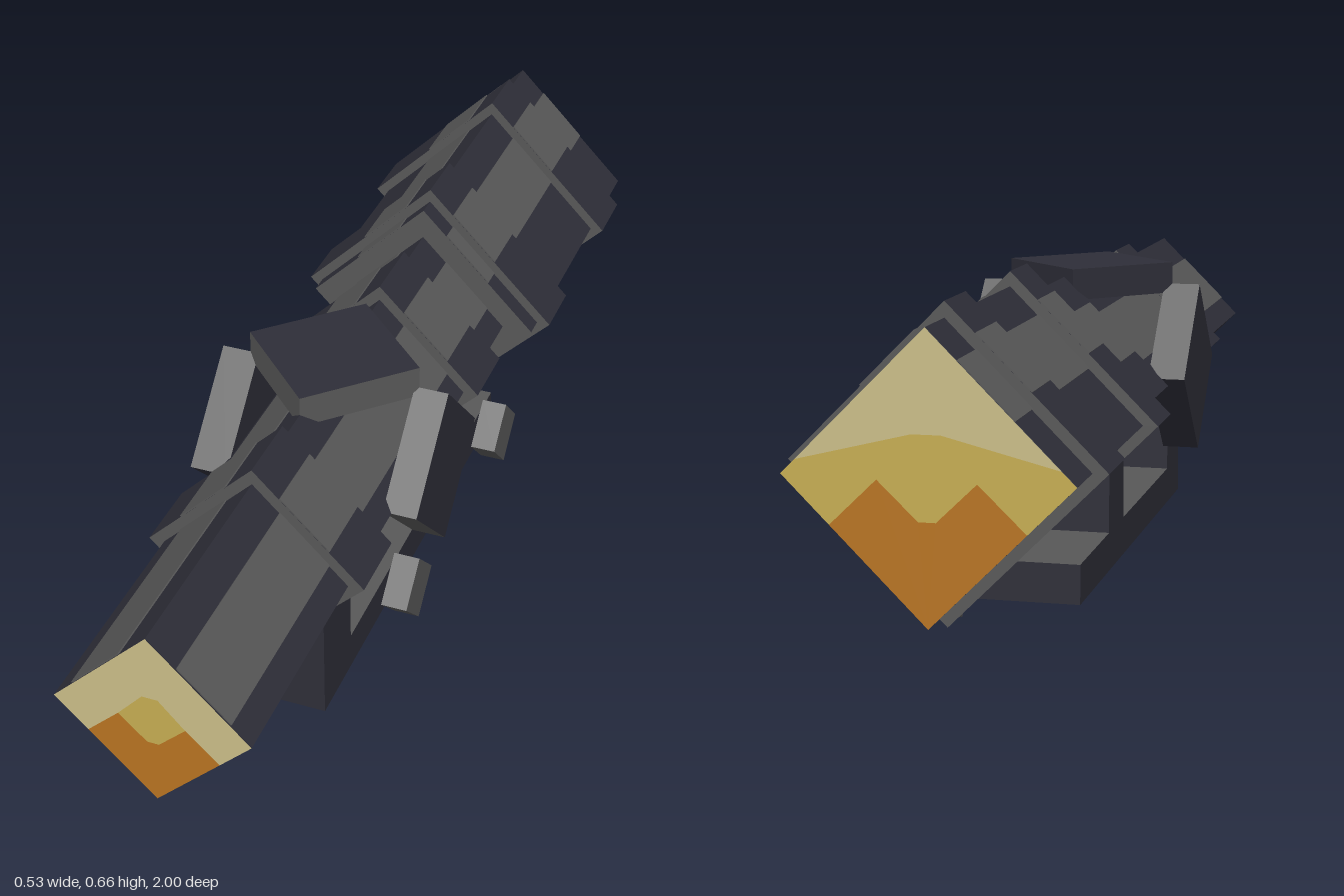
import * as THREE from 'three';

const mat = (name, color) => {
  const m = new THREE.MeshStandardMaterial({ color, flatShading: true });
  m.name = name;
  return m;
};

export function createModel() {
  const group = new THREE.Group();
  const dark = mat('dark gunmetal', 0x2e2e38);
  const grey = mat('worn grey', 0x585858);
  const cream = mat('cream glass', 0xcabd88);
  const yellow = mat('yellow glass', 0xc6ad52);
  const orange = mat('orange glass', 0xb87422);
  const axisY = 0.397; // height of the optical axis

  const add = (name, geometry, material, x = 0, y = 0, z = 0) => {
    const mesh = new THREE.Mesh(geometry, material);
    mesh.name = name;
    mesh.position.set(x, y, z);
    group.add(mesh);
    return mesh;
  };

  // Four-sided tube section along z, with a grey stripe on both upper faces
  const section = (name, r, z0, z1, endMat) => {
    const len = z1 - z0, mid = (z0 + z1) / 2;
    const g = new THREE.CylinderGeometry(r, r, len, 4).rotateX(Math.PI / 2);
    add(name, g, [dark, endMat, endMat], 0, axisY, mid);
    for (const s of [-1, 1]) {
      const stripe = new THREE.BoxGeometry(0.092 * Math.SQRT2, 0.005, len - 0.001);
      stripe.rotateZ(-s * Math.PI / 4);
      add(name + 'Stripe', stripe, grey, s * 0.096, axisY + r - 0.096, mid);
    }
  };
  section('mainTube', 0.178, -0.32, 0.998, dark);
  section('rearTube', 0.24, -0.998, -0.32, grey);
  for (const [name, r, z0, z1] of [
    ['frontMountRing', 0.208, 0.43, 0.57],
    ['rearMountRing', 0.208, -0.205, -0.065],
    ['eyepieceFrontRing', 0.267, -0.482, -0.36],
    ['eyepieceRearRing', 0.267, -0.892, -0.768],
  ]) section(name, r, z0, z1, grey);

  // Lenses: three flat panes each, in units of the tube radius
  const lowEdge = [[-0.67, -0.33], [-0.34, -0.01], [-0.06, -0.28], [0.06, -0.28], [0.34, -0.01], [0.67, -0.33]];
  const frontTop = [[-0.67, -0.33], [-0.34, -0.01], [-0.08, 0.28], [0.08, 0.28], [0.34, -0.01], [0.67, -0.33]];
  const backTop = [[-0.9, 0.1], [-0.1, 0.3], [0.1, 0.3], [0.9, 0.1]];
  const lens = (name, r, z, topEdge, frontYellow) => {
    const panes = [
      ['Top', cream, [...(frontYellow ? [[-1, 0]] : []), ...topEdge, ...(frontYellow ? [[1, 0]] : []), [0, 1]]],
      ['Middle', yellow, frontYellow
        ? [...lowEdge.slice(1, 5), ...frontTop.slice(2, 4).reverse()]
        : [[-1, 0], ...lowEdge, [1, 0], ...[...topEdge].reverse()]],
      ['Bottom', orange, [[0, -1], ...[...lowEdge].reverse()]],
    ];
    for (const [part, material, pts] of panes) {
      const shape = new THREE.Shape(pts.map(([x, y]) => new THREE.Vector2(x * r, y * r)));
      const pane = add(name + part, new THREE.ShapeGeometry(shape), material, 0, axisY, z);
      if (z < 0) pane.rotation.y = Math.PI;
    }
  };
  lens('frontLens', 0.178, 1, frontTop, true);
  lens('rearLens', 0.24, -1, backTop, false);

  // Diamond knob with one material for each side face, then both caps
  const knob = (r, h, faces) => {
    const g = new THREE.CylinderGeometry(r, r, h, 4);
    g.clearGroups();
    faces.forEach((m, i) => g.addGroup(i * 6, 6, m));
    g.addGroup(24, 12, 4);
    g.addGroup(36, 12, 5);
    return g;
  };
  const colours = [dark, grey, dark, dark, dark, dark];
  const paint = (faces) => faces.map((f) => (f ? grey : dark)).concat(dark, dark);
  const each = [0, 1, 2, 3];
  colours.splice(0, 6, ...paint([1, 0, 0, 1]));
  add('topTurret', knob(0.17, 0.062, each), colours, 0, 0.58, 0.18);
  add('leftTurret', knob(0.17, 0.066, each).rotateZ(-Math.PI / 2), paint([1, 1, 1, 1]), 0.194, axisY, 0.18);
  add('rightTurret', knob(0.17, 0.073, each).rotateZ(-Math.PI / 2), paint([0, 0, 1, 1]), -0.19, axisY, 0.18);

  // Mount: rail with grey upper face and two posts
  add('mountRail', new THREE.BoxGeometry(0.24, 0.075, 0.995), [dark, dark, grey, dark, dark, dark], 0, 0.0925, 0.0475);
  for (const z of [0.4775, -0.1325]) {
    add('mountPost', new THREE.BoxGeometry(0.24, 0.2, 0.135), dark, 0, 0.175, z);
  }

  // Clamp screws on the left side of the rail
  for (const z of [0.17, -0.39]) {
    const g = new THREE.CylinderGeometry(0.075, 0.075, 0.053, 4).rotateZ(Math.PI / 2);
    add('clampScrew', g, grey, 0.1465, 0.075, z);
  }
  return group;
}
